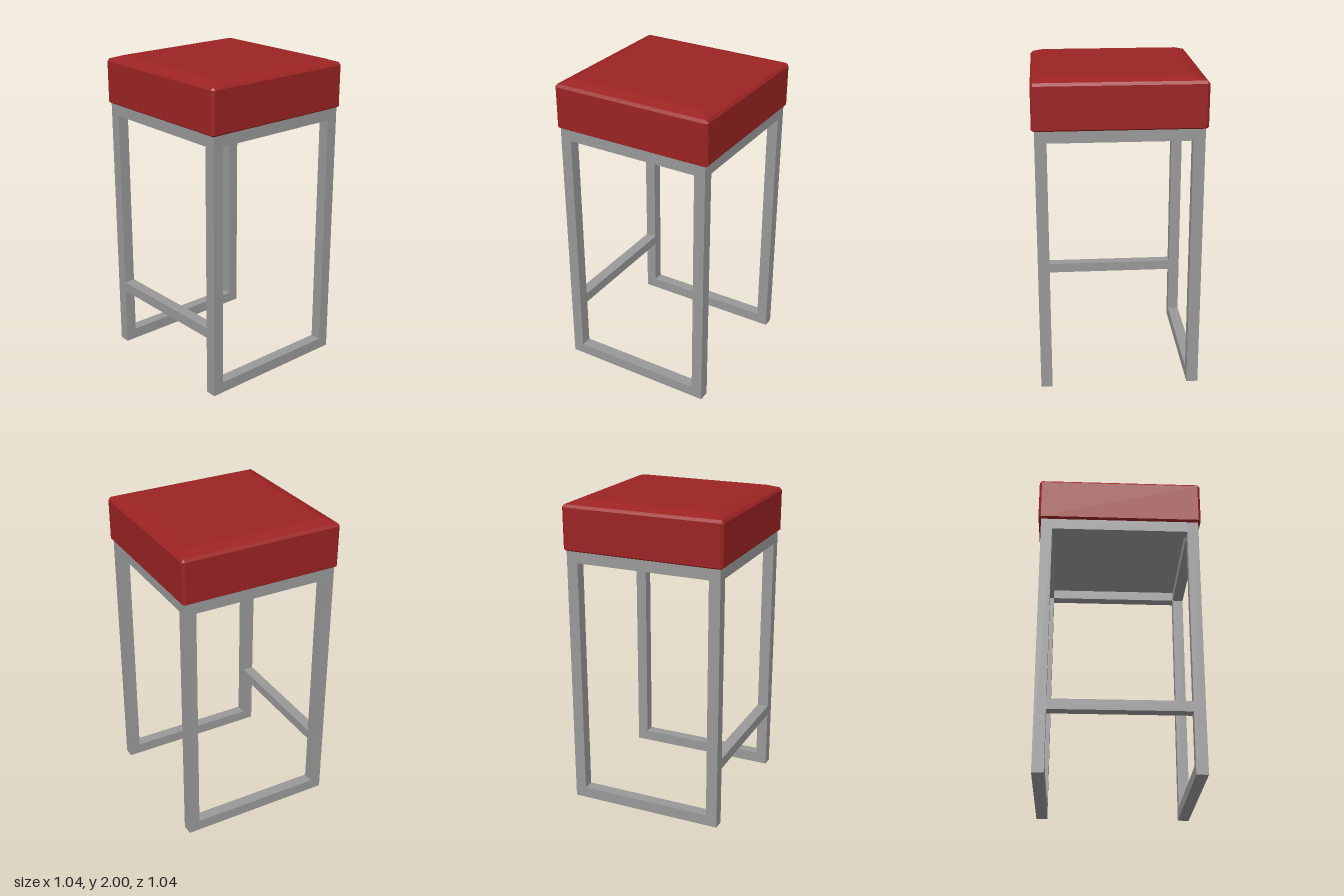
import * as THREE from 'three';

const OUT = 0.505;   // outer half width of the frame
const BAR = 0.072;   // square tube thickness
const TOP = 1.69;    // top of the frame
const MID = OUT - BAR / 2;
const GAP = 2 * (OUT - BAR);

// Lofts square rings with cut corners; each ring is [half width, y, corner cut]
function cushionGeometry(rings) {
  const corners = ([h, y, c]) => [
    [h, h - c], [h, c - h], [h - c, -h], [c - h, -h],
    [-h, c - h], [-h, h - c], [c - h, h], [h - c, h],
  ].map(([x, z]) => new THREE.Vector3(x, y, z));
  const loops = rings.map(corners);
  const pos = [];
  const area = new THREE.Triangle();
  const tri = (a, b, c) => {
    if (area.set(a, b, c).getArea() > 1e-8) for (const p of [a, b, c]) pos.push(p.x, p.y, p.z);
  };
  for (let r = 0; r < loops.length - 1; r++) {
    const lo = loops[r], hi = loops[r + 1];
    for (let i = 0; i < 8; i++) {
      const j = (i + 1) % 8;
      tri(lo[i], lo[j], hi[j]);
      tri(lo[i], hi[j], hi[i]);
    }
  }
  // Bottom and top caps
  const first = loops[0], last = loops[loops.length - 1];
  for (let i = 1; i < 7; i++) {
    tri(first[0], first[i + 1], first[i]);
    tri(last[0], last[i], last[i + 1]);
  }
  const geo = new THREE.BufferGeometry();
  geo.setAttribute('position', new THREE.Float32BufferAttribute(pos, 3));
  geo.computeVertexNormals();
  return geo;
}

export function createModel() {
  const steel = new THREE.MeshStandardMaterial({ color: 0x999999 });
  steel.name = 'grey steel';
  const leather = new THREE.MeshStandardMaterial({ color: 0x9c2323 });
  leather.name = 'red leather';

  const stool = new THREE.Group();
  stool.name = 'barStool';
  const frame = new THREE.Group();
  frame.name = 'frame';
  stool.add(frame);

  const bar = (name, w, h, d, x, y, z) => {
    const mesh = new THREE.Mesh(new THREE.BoxGeometry(w, h, d), steel);
    mesh.name = name;
    mesh.position.set(x, y, z);
    frame.add(mesh);
  };

  // Front and back rectangular frames, joined by side rails under the seat
  for (const s of [-1, 1]) {
    const end = s > 0 ? 'front' : 'back';
    const side = s > 0 ? 'left' : 'right';
    for (const t of [-1, 1]) {
      bar(end + (t > 0 ? 'Left' : 'Right') + 'Leg', BAR, TOP, BAR, t * MID, TOP / 2, s * MID);
    }
    bar(end + 'FootRail', GAP, BAR, BAR, 0, BAR / 2, s * MID);
    bar(end + 'TopRail', GAP, BAR, BAR, 0, TOP - BAR / 2, s * MID);
    bar(side + 'TopRail', BAR, BAR, GAP, s * MID, TOP - BAR / 2, 0);
  }

  // Single stretcher on one side, and the board below the cushion
  bar('stretcher', BAR, 0.066, GAP, -MID, 0.418, 0);
  bar('seatBoard', GAP, 0.008, GAP, 0, TOP - 0.004, 0);

  // Cushion with chamfered edges and a sloped border on top
  const cushion = new THREE.Mesh(cushionGeometry([
    [0.507, TOP, 0],
    [0.522, 1.70, 0.015],
    [0.522, 1.96, 0.015],
    [0.507, 1.977, 0],
    [0.44, 2.0, 0],
  ]), leather);
  cushion.name = 'seatCushion';
  stool.add(cushion);

  return stool;
}
